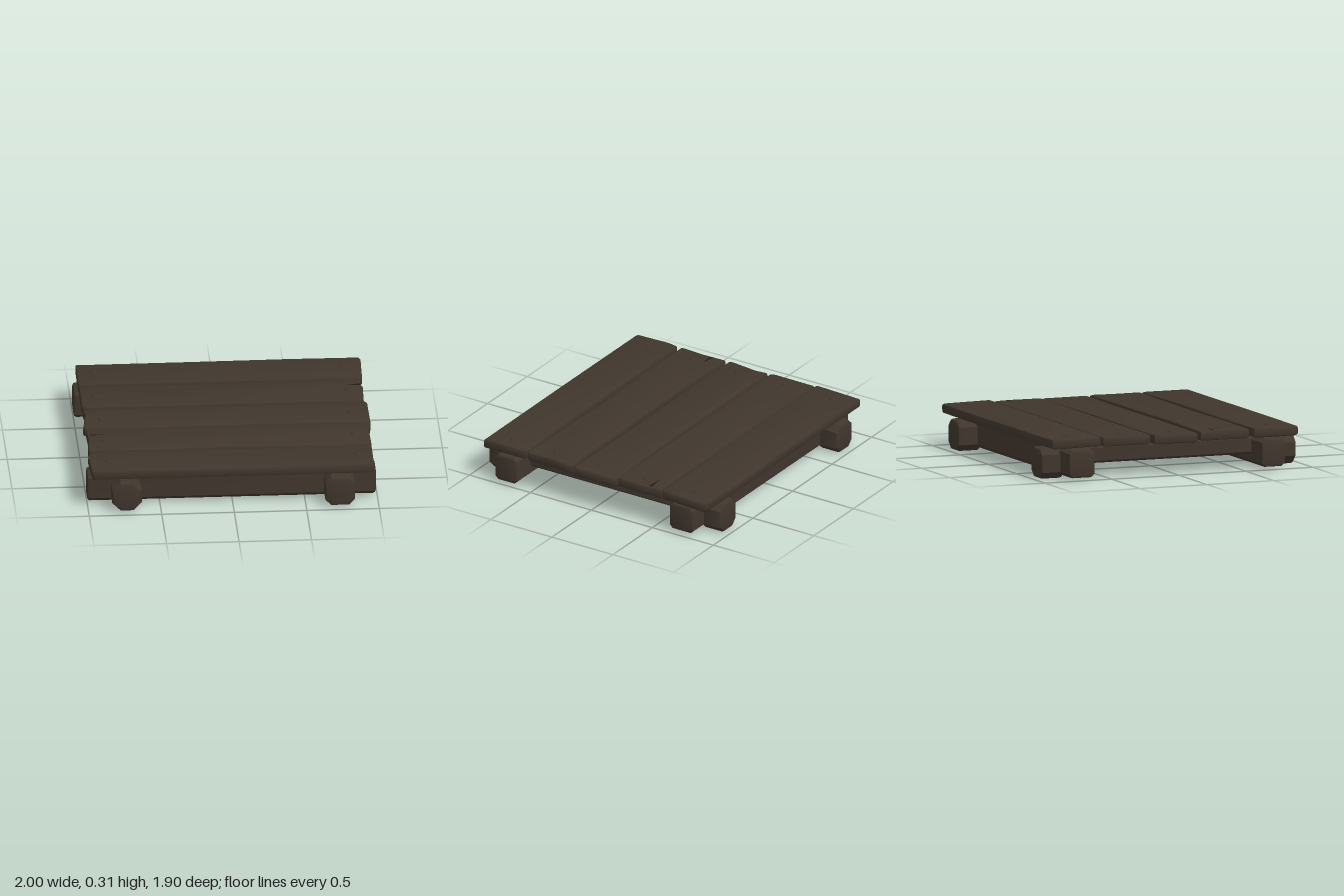
import * as THREE from 'three';
import { toCreasedNormals } from 'three/addons/utils/BufferGeometryUtils.js';

const wood = new THREE.MeshStandardMaterial({ color: 0x40362d });
wood.name = 'dark wood';
const shade = new THREE.MeshStandardMaterial({ color: 0x211c18 });
shade.name = 'split shadow';

// Extrude an outline along +z with softened rims; the outline stays the outer limit.
function softExtrude(points, length, bevel) {
  const shape = new THREE.Shape(points.map(([x, y]) => new THREE.Vector2(x, y)));
  const geo = new THREE.ExtrudeGeometry(shape, {
    depth: length - 2 * bevel, steps: 1, curveSegments: 4,
    bevelEnabled: true, bevelThickness: bevel, bevelSize: bevel, bevelOffset: -bevel, bevelSegments: 2,
  });
  geo.translate(0, 0, bevel);
  return toCreasedNormals(geo, 0.7);
}

// Rectangle with chamfered corners, centred on the origin.
function chamfered(w, h, c) {
  const a = w / 2, b = h / 2;
  return [[a, -b + c], [a, b - c], [a - c, b], [-a + c, b], [-a, b - c], [-a, -b + c], [-a + c, -b], [a - c, -b]];
}

export function createModel() {
  const group = new THREE.Group();
  const add = (name, geo, material = wood) => {
    const mesh = new THREE.Mesh(geo, material);
    mesh.name = name;
    group.add(mesh);
    return mesh;
  };
  // Timber filling the given box, running along x or z.
  const timber = (name, axis, [x0, x1], [y0, y1], [z0, z1], chamfer, bevel) => {
    const alongX = axis === 'x';
    const w = alongX ? z1 - z0 : x1 - x0, length = alongX ? x1 - x0 : z1 - z0;
    const geo = softExtrude(chamfered(w, y1 - y0, chamfer), length, bevel);
    geo.translate(0, 0, -length / 2);
    if (alongX) geo.rotateY(Math.PI / 2);
    geo.translate((x0 + x1) / 2, (y0 + y1) / 2, (z0 + z1) / 2);
    return add(name, geo);
  };

  // Long beams under the front and back edges
  timber('frontBeam', 'x', [-1, 0.99], [0.02, 0.215], [0.62, 0.8], 0.025, 0.018);
  timber('backBeam', 'x', [-1, 0.975], [0.02, 0.215], [-0.815, -0.62], 0.025, 0.018);

  // Side rails with thick log ends outside the beams
  for (const s of [-1, 1]) {
    const side = s > 0 ? 'left' : 'right';
    timber(side + 'SideRail', 'z', [s * 0.73 - 0.085, s * 0.73 + 0.085], [0.09, 0.212], [-0.66, 0.66], 0.015, 0.01);
    timber(side + 'FrontLogEnd', 'z', [s * 0.735 - 0.102, s * 0.735 + 0.102], [0.005, 0.215], [0.77, 0.95],
      s > 0 ? 0.04 : 0.058, 0.022);
    timber(side + 'BackLogEnd', 'z', [s * 0.735 - 0.1, s * 0.735 + 0.1], [0, 0.212], [-0.955, -0.78], 0.045, 0.022);
  }

  // Thin battens directly below the deck
  timber('rightBatten', 'z', [-0.43, -0.17], [0.165, 0.225], [-0.66, 0.66], 0.01, 0.008);
  timber('leftBatten', 'z', [0.27, 0.46], [0.165, 0.225], [-0.66, 0.66], 0.01, 0.008);

  // Deck planks: outline as [x, z], bottom height, tilt and nail positions
  const planks = [
    { y: 0.225, tilt: 0.02, nails: [[-0.855, -0.775], [0.87, -0.778]], outline: [
      [-0.97, -0.925], [-0.2, -0.928], [0.5, -0.935], [0.985, -0.93], [0.995, -0.9], [0.985, -0.58],
      [0.97, -0.568], [0, -0.568], [-0.96, -0.565], [-0.975, -0.58]] },
    { y: 0.222, tilt: 0, nails: [[-0.87, -0.375], [0.875, -0.375]], outline: [
      [-0.97, -0.55], [0, -0.545], [0.96, -0.552], [0.97, -0.53], [0.967, -0.48], [0.98, -0.44],
      [0.972, -0.205], [0.95, -0.195], [0, -0.198], [-0.955, -0.195], [-0.972, -0.215]] },
    { y: 0.217, tilt: 0, nails: [[-0.85, 0], [0.875, 0]], outline: [
      [-0.97, -0.165], [-0.6, -0.175], [0, -0.17], [0.5, -0.175], [0.98, -0.192], [0.993, -0.17],
      [0.995, 0.14], [0.97, 0.158], [0.3, 0.15], [-0.4, 0.158], [-0.97, 0.152], [-0.985, 0.13], [-0.96, -0.08]] },
    { y: 0.222, tilt: 0, nails: [[-0.855, 0.37], [0.87, 0.37]], outline: [
      [-0.97, 0.178], [-0.4, 0.19], [0.3, 0.18], [0.6, 0.182], [0.98, 0.168], [0.99, 0.2], [0.975, 0.32],
      [0.977, 0.53], [0.96, 0.545], [0, 0.533], [-0.5, 0.545], [-0.965, 0.54], [-0.976, 0.52], [-0.965, 0.35]] },
    { y: 0.224, tilt: 0, nails: [[-0.85, 0.73], [0.87, 0.72]], outline: [
      [-0.97, 0.575], [-0.3, 0.565], [0.3, 0.57], [0.7, 0.56], [0.965, 0.552], [0.975, 0.58], [0.972, 0.9],
      [0, 0.905], [-0.96, 0.905], [-0.975, 0.89], [-0.985, 0.65]] },
  ];
  const thick = 0.068;
  planks.forEach(({ y, tilt, nails, outline }, i) => {
    const zMid = nails[0][1];
    const geo = softExtrude(outline.map(([x, z]) => [x, zMid - z]), thick, 0.016);
    geo.rotateX(-Math.PI / 2).rotateX(-tilt).translate(0, y, zMid);
    add('deckPlank' + (i + 1), geo);

    // Domed nail heads
    for (const [x, z] of nails) {
      const nail = new THREE.SphereGeometry(0.026, 12, 4, 0, Math.PI * 2, 0, Math.PI / 2);
      add('nailHead', nail.scale(1, 0.5, 1).translate(x, y + thick - 0.001, z));
    }
  });

  // Narrow splits at two plank ends
  for (const [end, tip, z] of [[0.962, 0.84, -0.46], [-0.95, -0.83, 0.28]]) {
    const split = new THREE.Shape([[end, -0.012], [end, 0.012], [tip, 0]].map(p => new THREE.Vector2(...p)));
    const geo = new THREE.ShapeGeometry(split);
    add('plankSplit', geo.rotateX(-Math.PI / 2).translate(0, 0.2915, z), shade);
  }
  return group;
}
